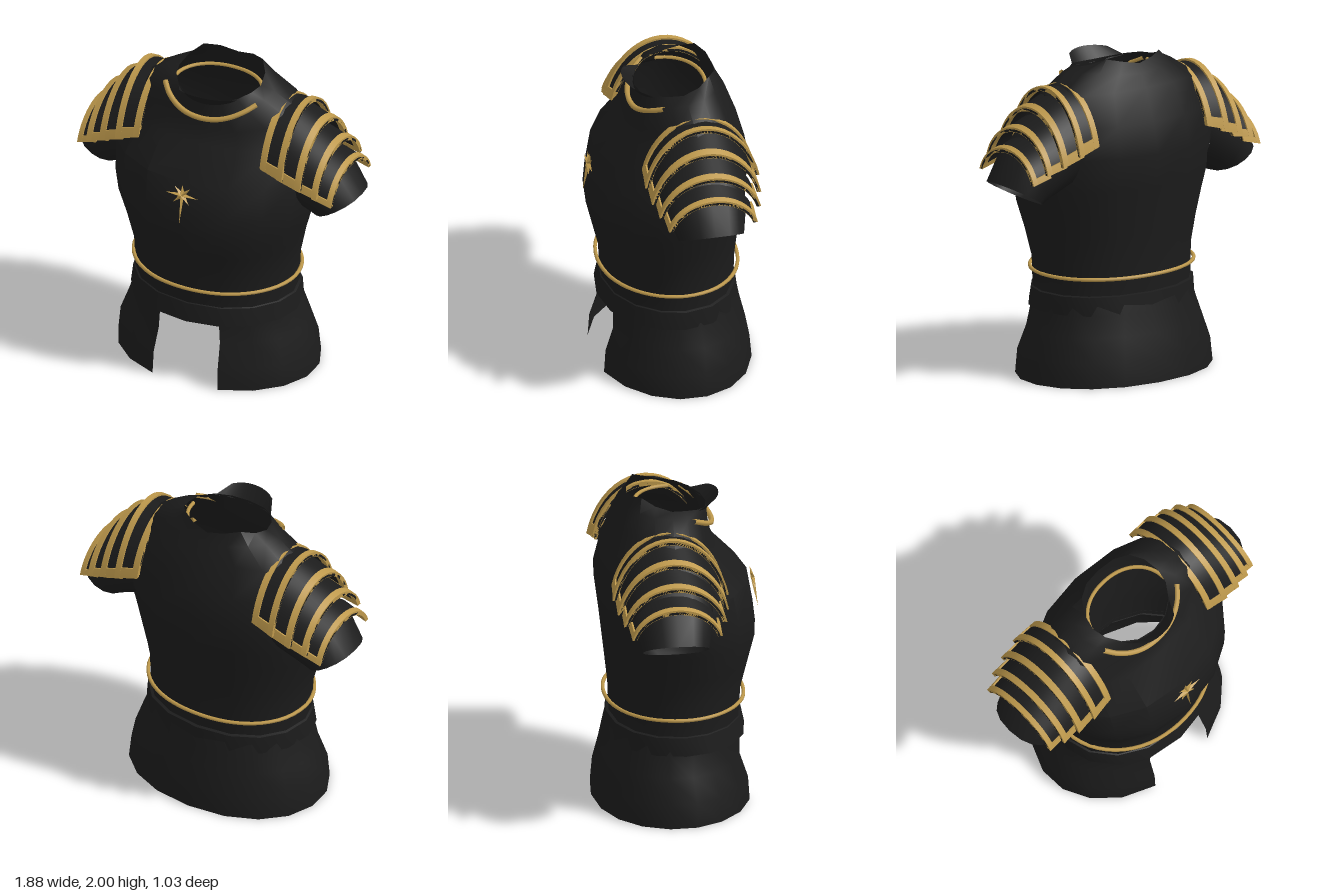
import * as THREE from 'three';
import { toCreasedNormals } from 'three/addons/utils/BufferGeometryUtils.js';

const cloth = new THREE.MeshStandardMaterial({ color: 0x1c1c1c, side: THREE.DoubleSide });
cloth.name = 'charcoal';
const gold = new THREE.MeshStandardMaterial({ color: 0xbe994c, side: THREE.DoubleSide });
gold.name = 'gold';

const lerp = THREE.MathUtils.lerp;
const V = (x, y, z) => new THREE.Vector3(x, y, z);

// Skin a list of equal-length point rows
function loft(rows, crease = 0.7) {
  const n = rows[0].length, idx = [];
  for (let i = 0; i < rows.length - 1; i++) {
    for (let j = 0; j < n - 1; j++) {
      const a = i * n + j, b = a + n;
      idx.push(a, a + 1, b, b, a + 1, b + 1);
    }
  }
  const g = new THREE.BufferGeometry().setFromPoints(rows.flat());
  g.setIndex(idx);
  return toCreasedNormals(g, crease);
}

function add(parent, name, geometry, material) {
  const m = new THREE.Mesh(geometry, material);
  m.name = name;
  parent.add(m);
  return m;
}

// Body cross-section: side height y, half width, front z, back z, front and back heights.
// Angle 0 is the left side, 90 the front, 270 the back.
function section([y, hw, zf, zb, yf = y, yb = y, bump = 0], a0 = 0, a1 = 360, steps = 16) {
  const pts = [], zc = (zf + zb) / 2, d = (zf - zb) / 2;
  for (let i = 0; i <= steps; i++) {
    const a = THREE.MathUtils.degToRad(lerp(a0, a1, i / steps));
    const c = Math.cos(a), s = Math.sin(a);
    const lift = s > 0 ? (yf - y) * s * s : (yb - y) * s * s + bump * 4 * s * s * c * c;
    const z = Math.sign(s) * Math.abs(s) ** (s > 0 ? 1.08 : 0.93);
    pts.push(V(hw * Math.sign(c) * Math.abs(c) ** 0.93, y + lift, zc + d * z));
  }
  return pts;
}

function tube(pts, radius, closed = false) {
  const curve = new THREE.CatmullRomCurve3(pts, closed);
  return new THREE.TubeGeometry(curve, 56, radius, 6, closed);
}

// Shoulder lames: inner and outer edge as [x, end height, top height, half depth]
const LAMES = [
  [[0.41, 1.53, 1.85, 0.33], [0.565, 1.485, 1.845, 0.345]],
  [[0.52, 1.48, 1.81, 0.325], [0.68, 1.435, 1.735, 0.33]],
  [[0.63, 1.425, 1.69, 0.3], [0.78, 1.395, 1.62, 0.305]],
  [[0.73, 1.37, 1.56, 0.27], [0.86, 1.335, 1.505, 0.265]],
];
const SPAN = THREE.MathUtils.degToRad(75);

function lamePoint([inner, outer], u, t, off) {
  const [x, yb, top, hw] = inner.map((v, i) => lerp(v, outer[i], u));
  const a = t * SPAN;
  const k = (Math.cos(a) - Math.cos(SPAN)) / (1 - Math.cos(SPAN));
  return V(x, yb + (top + off - yb) * k, -0.1 + (hw + off) * Math.sin(a) / Math.sin(SPAN));
}

// Solid strip of a lame between u0..u1 across and t0..t1 along the arc
function lameStrip(lame, u0, u1, t0, t1, off0, off1) {
  const rows = [], steps = Math.max(2, Math.round((t1 - t0) * 10));
  for (let i = 0; i <= steps; i++) {
    const t = lerp(t0, t1, i / steps);
    rows.push([[u0, off0], [u1, off0], [u1, off1], [u0, off1], [u0, off0]]
      .map(([u, o]) => lamePoint(lame, u, t, o)));
  }
  const first = rows[0][0], last = rows[steps][0];
  rows.unshift(rows[0].map(() => first.clone()));
  rows.push(rows[steps + 1].map(() => last.clone()));
  return loft(rows, 0.5);
}

// Sleeve rings: [top x, top y, bottom x, bottom y, half depth]
function sleeveGeometry() {
  const rings = [
    [0.48, 1.76, 0.5, 1.22, 0.27],
    [0.72, 1.57, 0.63, 1.17, 0.245],
    [0.84, 1.46, 0.65, 1.155, 0.225],
    [0.94, 1.31, 0.66, 1.15, 0.205],
  ];
  return loft(rings.map(([tx, ty, bx, by, hw]) => {
    const pts = [];
    for (let i = 0; i <= 16; i++) {
      const a = i / 16 * Math.PI * 2, k = (1 + Math.cos(a)) / 2, s = Math.sin(a);
      pts.push(V(lerp(bx, tx, k), lerp(by, ty, k), -0.1 + hw * Math.sign(s) * Math.abs(s) ** 0.85));
    }
    return pts;
  }));
}

function shoulder(side) {
  const g = new THREE.Group();
  g.name = side > 0 ? 'leftShoulder' : 'rightShoulder';
  const part = (name, geo, mat) => {
    if (side < 0) { // mirror and restore the winding
      geo.scale(-1, 1, 1);
      const q = V(0, 0, 0), r = V(0, 0, 0);
      for (const at of [geo.attributes.position, geo.attributes.normal]) {
        for (let i = 0; i < at.count; i += 3) {
          q.fromBufferAttribute(at, i + 1);
          r.fromBufferAttribute(at, i + 2);
          at.setXYZ(i + 1, r.x, r.y, r.z);
          at.setXYZ(i + 2, q.x, q.y, q.z);
        }
      }
    }
    add(g, name, geo, mat);
  };
  part('sleeve', sleeveGeometry(), cloth);
  LAMES.forEach((lame, i) => {
    part('lame', lameStrip(lame, 0, 1, -1, 1, -0.015, 0), cloth);
    part('lameRim', lameStrip(lame, 0.76, 1, -1, 1, -0.017, 0.012), gold);
    part('lameFrontTrim', lameStrip(lame, 0, 1, 0.89, 1, -0.017, 0.011), gold);
    part('lameBackTrim', lameStrip(lame, 0, 1, -1, -0.89, -0.017, 0.011), gold);
    if (i === 0) part('innerRim', lameStrip(lame, 0, 0.25, -1, 1, -0.017, 0.012), gold);
  });
  return g;
}

// Eight-pointed star with a raised centre and a long lower point
function starGeometry() {
  const lengths = [0.11, 0.075, 0.07, 0.075, 0.11, 0.075, 0.19, 0.075];
  const rim = [], centre = [];
  for (let i = 0; i <= 16; i++) {
    const a = i / 16 * Math.PI * 2;
    const r = i % 2 ? 0.028 : lengths[(i / 2) % 8];
    rim.push(V(r * Math.cos(a), r * Math.sin(a), i % 2 ? 0 : 0.008));
    centre.push(V(0, 0, 0.022));
  }
  return loft([rim, centre], 0.1);
}

export function createModel() {
  const model = new THREE.Group();
  model.name = 'torsoArmour';

  // Torso from waist to neck opening
  const torso = [
    [0.5, 0.52, 0.395, -0.4],
    [0.74, 0.525, 0.41, -0.41],
    [0.92, 0.565, 0.455, -0.43],
    [1.09, 0.615, 0.497, -0.45],
    [1.22, 0.645, 0.482, -0.465],
    [1.43, 0.655, 0.445, -0.493],
    [1.62, 0.62, 0.26, -0.44, 1.61],
    [1.80, 0.55, 0.22, -0.365, 1.7, 1.82],
    [1.91, 0.365, 0.205, -0.32, 1.77, 1.9, 0.02],
    [1.93, 0.275, 0.195, -0.295, 1.88, 1.96, 0.055],
  ];
  add(model, 'torso', loft(torso.map(r => section(r))), cloth);

  // Raised lip at the front of the neck
  add(model, 'collarLip', loft([
    section([1.93, 0.275, 0.195, -0.295, 1.86], 45, 135, 8),
    section([1.9, 0.26, 0.27, -0.29, 1.95], 58, 122, 8),
  ]), cloth);

  // Waist band and open-fronted skirt
  add(model, 'waistBand', loft([
    section([0.55, 0.52, 0.395, -0.4]),
    section([0.545, 0.535, 0.405, -0.42]),
    section([0.43, 0.545, 0.43, -0.43]),
    section([0.43, 0.525, 0.38, -0.42]),
  ], 0.5), cloth);
  const skirt = [ // ring, then half angle of the front opening
    [[0.5, 0.52, 0.4, -0.42], 20.5],
    [[0.43, 0.535, 0.4, -0.435], 20.3],
    [[0.3, 0.58, 0.4, -0.46], 19.3],
    [[0.15, 0.635, 0.45, -0.497], 18.4],
    [[0, 0.65, 0.46, -0.51], 18.2],
  ];
  add(model, 'skirt', loft(skirt.map(([r, gap]) => section(r, 90 + gap, 450 - gap))), cloth);

  // Gold cords at the waist and neck
  add(model, 'beltCord', tube(section([0.66, 0.53, 0.42, -0.43]).slice(0, -1), 0.012, true), gold);
  add(model, 'frontNeckTrim', tube(section([1.91, 0.36, 0.225, -0.36, 1.775], 32, 148, 8), 0.017), gold);
  add(model, 'backNeckTrim', tube(section([1.88, 0.28, 0.24, -0.24], 180, 360, 14), 0.012), gold);

  // Chest star
  const star = add(model, 'chestStar', starGeometry(), gold);
  star.position.set(0, 1.36, 0.474);
  star.rotation.x = -0.18;

  model.add(shoulder(1), shoulder(-1));
  return model;
}
